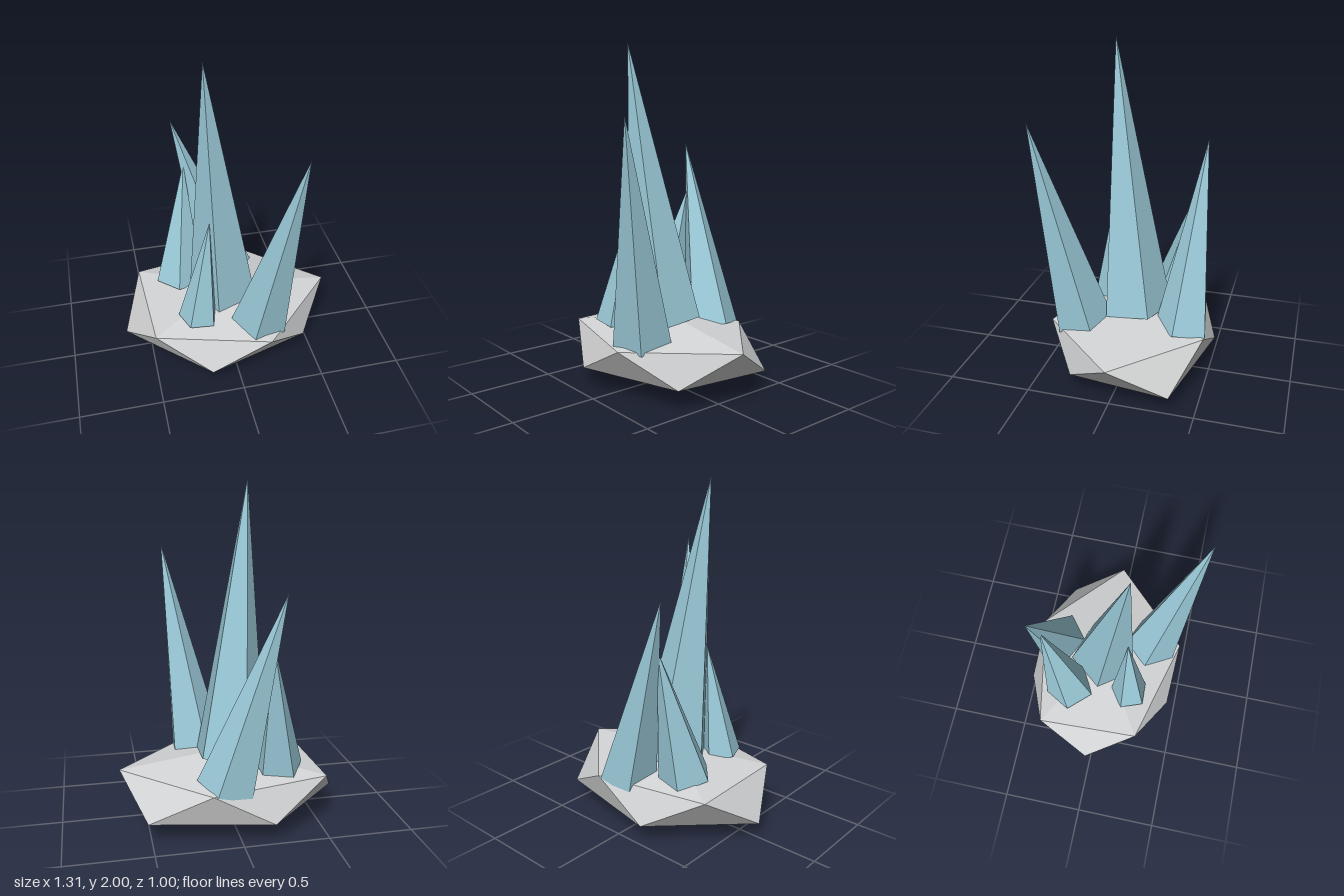
import * as THREE from 'three';

const stone = new THREE.MeshStandardMaterial({ color: 0xd2d3d4, flatShading: true });
stone.name = 'pale grey stone';
const crystal = new THREE.MeshStandardMaterial({ color: 0x9ac9d8, flatShading: true });
crystal.name = 'light blue crystal';

// Squashed, slightly irregular twenty-sided rock
function makeRock() {
  const top = [0, 0.41, -0.03], bottom = [0, 0, -0.03];
  const upper = [[0.655, 0.32, -0.03], [0.18, 0.31, 0.455], [-0.495, 0.315, 0.275],
    [-0.52, 0.32, -0.355], [0.17, 0.31, -0.485]];
  const lower = [[0.45, 0.12, 0.25], [-0.18, 0.12, 0.445], [-0.655, 0.11, -0.03],
    [-0.18, 0.12, -0.505], [0.52, 0.115, -0.355]];
  const corners = [];
  for (let i = 0; i < 5; i++) {
    const j = (i + 1) % 5;
    corners.push(top, upper[j], upper[i]);
    corners.push(upper[i], upper[j], lower[i]);
    corners.push(upper[j], lower[j], lower[i]);
    corners.push(bottom, lower[i], lower[j]);
  }
  const geometry = new THREE.BufferGeometry();
  geometry.setAttribute('position', new THREE.Float32BufferAttribute(corners.flat(), 3));
  geometry.computeVertexNormals();
  const mesh = new THREE.Mesh(geometry, stone);
  mesh.name = 'rockBase';
  return mesh;
}

// Five-sided spike leaning from its base centre to its tip, with the base square to the axis
function makeSpike(name, [cx, cy, cz], [tx, ty, tz], radius, degrees) {
  const dx = tx - cx, h = ty - cy, dz = tz - cz;
  const start = Math.PI / 2 - THREE.MathUtils.degToRad(degrees);
  const geometry = new THREE.ConeGeometry(radius, h, 5, 1, false, start).toNonIndexed();
  const p = geometry.attributes.position;
  for (let i = 0; i < p.count; i++) {
    const x = p.getX(i), z = p.getZ(i);
    if (p.getY(i) > 0) p.setXYZ(i, tx, ty, tz);
    else p.setXYZ(i, cx + x, cy - (x * dx + z * dz) / h, cz + z);
  }
  geometry.computeVertexNormals();
  const mesh = new THREE.Mesh(geometry, crystal);
  mesh.name = name;
  return mesh;
}

export function createModel() {
  const group = new THREE.Group();
  group.name = 'crystalCluster';
  group.add(
    makeRock(),
    makeSpike('centreSpike', [-0.01, 0.37, -0.025], [-0.15, 2.0, 0.13], 0.222, 38),
    makeSpike('frontLeftSpike', [0.15, 0.33, 0.26], [0.32, 1.59, 0.5], 0.172, 40),
    makeSpike('backSpike', [0.067, 0.29, -0.34], [-0.255, 1.41, -0.405], 0.17, 10),
    makeSpike('backRightSpike', [-0.26, 0.34, -0.21], [-0.19, 1.12, -0.365], 0.155, 30),
    makeSpike('frontRightSpike', [-0.215, 0.345, 0.18], [-0.13, 1.02, 0.14], 0.122, -20),
  );
  return group;
}
